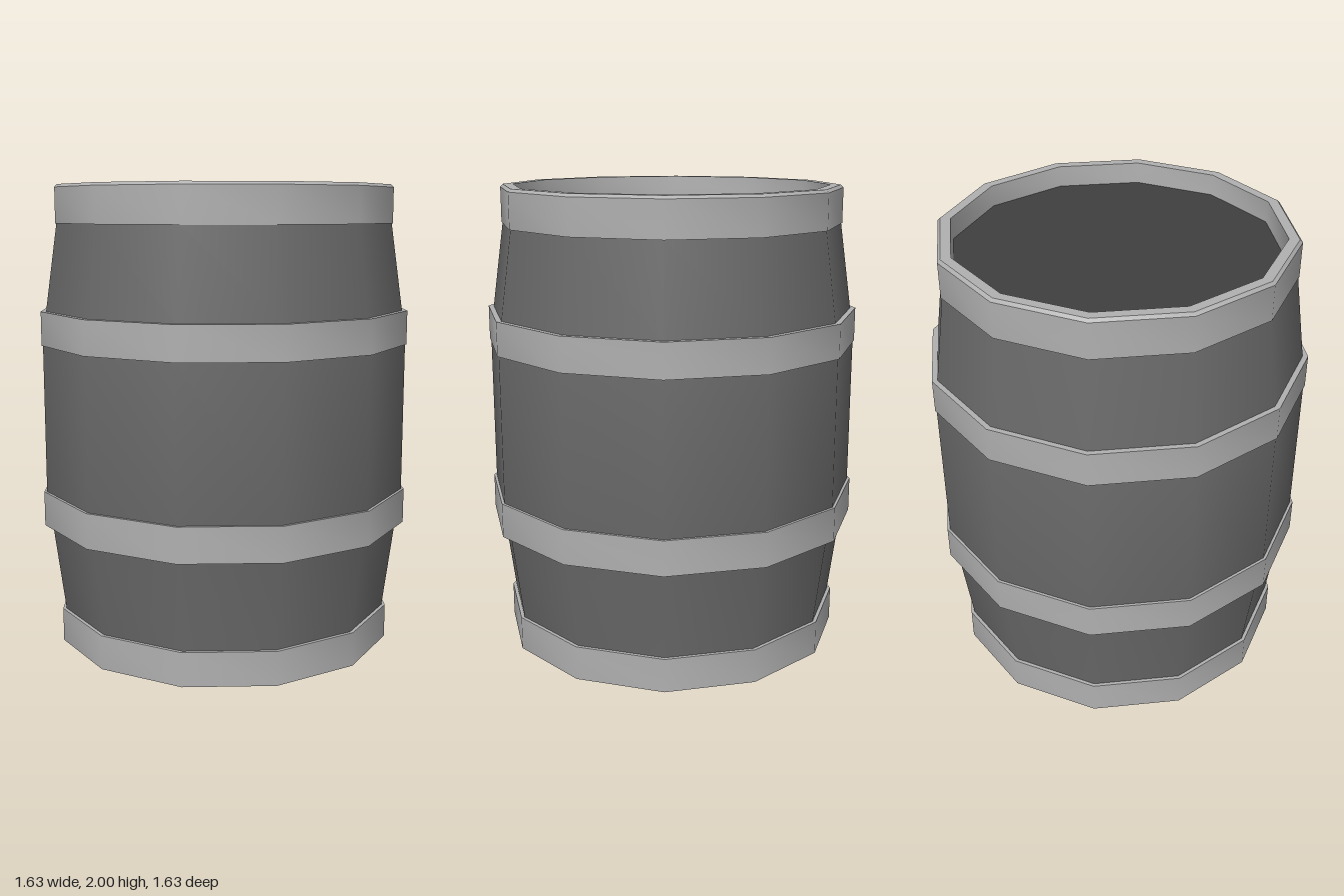
import * as THREE from 'three';
import { toCreasedNormals } from 'three/addons/utils/BufferGeometryUtils.js';

const SIDES = 12;
const metal = new THREE.MeshStandardMaterial({ color: 0xb0b0b0, side: THREE.DoubleSide });
const wood = new THREE.MeshStandardMaterial({ color: 0x6a6a6a });
const darkWood = new THREE.MeshStandardMaterial({ color: 0x3f3f3f });

// Twelve-sided turned part, smooth around and sharp at the rims
function turned(name, profile, material) {
  const points = profile.map(([r, y]) => new THREE.Vector2(r, y));
  const geometry = toCreasedNormals(new THREE.LatheGeometry(points, SIDES), 0.6);
  const mesh = new THREE.Mesh(geometry, material);
  mesh.name = name;
  return mesh;
}

// Thin hoop: outer wall and top ledge, open underneath
function hoop(name, inner, outer, bottom, top) {
  return turned(name, [[outer, bottom], [outer, top], [inner, top]], metal);
}

// Flat round end of the barrel, facing up or down
function lid(name, radius, y, up, material) {
  const mesh = new THREE.Mesh(new THREE.CircleGeometry(radius, SIDES), material);
  mesh.rotation.x = up ? -Math.PI / 2 : Math.PI / 2;
  mesh.position.y = y;
  mesh.name = name;
  return mesh;
}

export function createModel() {
  const barrel = new THREE.Group();
  barrel.name = 'barrel';

  // Bulging staves
  barrel.add(turned('staves', [
    [0.725, 0.11], [0.78, 0.537], [0.802, 0.687],
    [0.802, 1.325], [0.785, 1.47], [0.732, 1.838], [0.715, 1.95],
  ], wood));

  // Hoops around the staves
  barrel.add(hoop('bottomHoop', 0.725, 0.745, 0, 0.147));
  barrel.add(hoop('lowerHoop', 0.798, 0.814, 0.537, 0.687));
  barrel.add(hoop('upperHoop', 0.78, 0.808, 1.325, 1.47));

  // Top rim with a small bevel and an inner wall down to the lid
  barrel.add(turned('topRim', [
    [0.737, 1.838], [0.737, 1.988], [0.725, 2], [0.682, 2], [0.678, 1.91],
  ], metal));

  // Recessed top and bottom
  barrel.add(lid('topLid', 0.678, 1.91, true, darkWood));
  barrel.add(lid('bottomLid', 0.725, 0.11, false, wood));
  return barrel;
}
